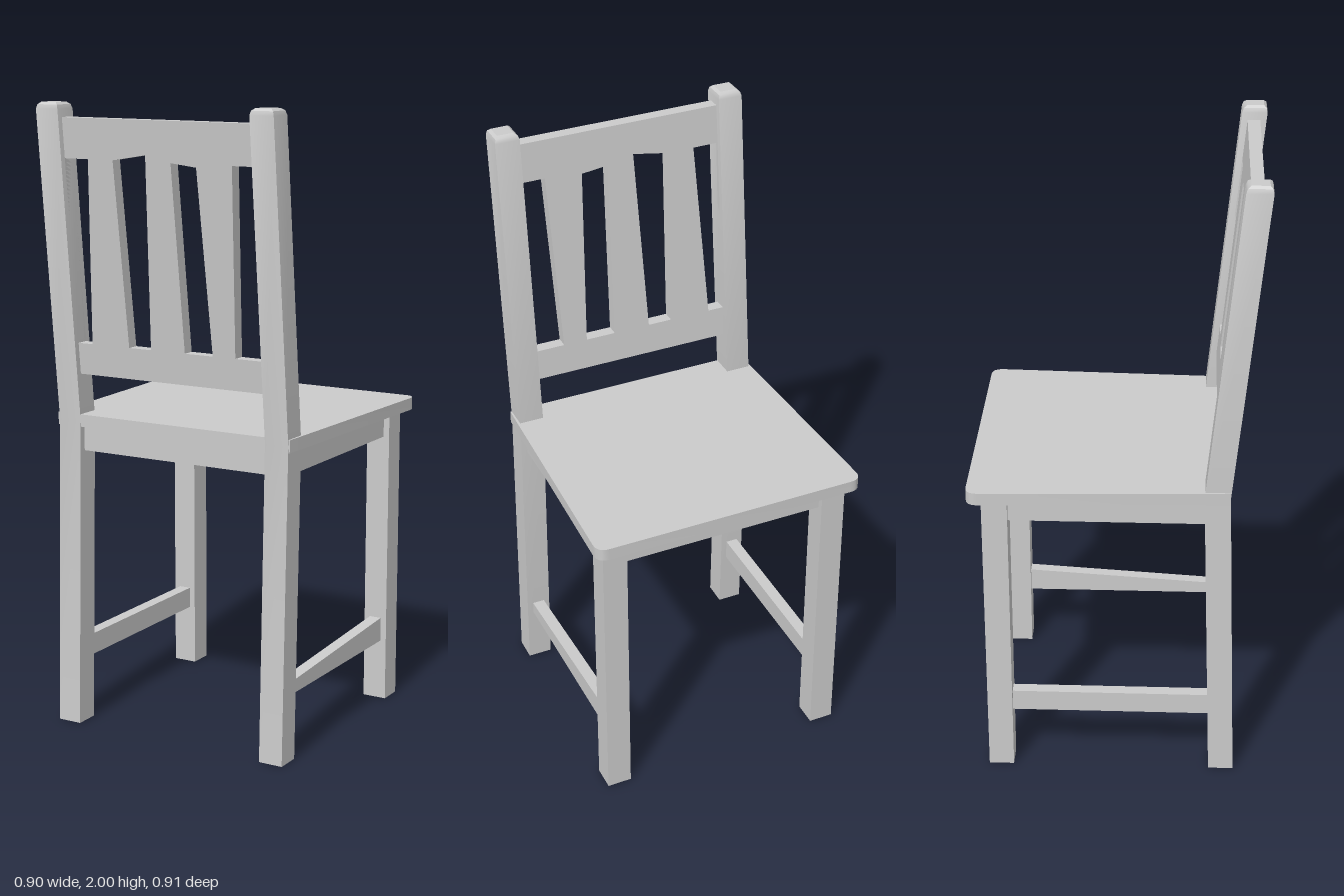
import * as THREE from 'three';
import { toCreasedNormals } from 'three/addons/utils/BufferGeometryUtils.js';

const material = new THREE.MeshStandardMaterial({ color: 0xcccccc });

// Rectangular sections [y, centre x, centre z, half width, half depth] stacked upwards
function postGeometry(sections) {
  const positions = [], index = [];
  for (const [y, x, z, w, d] of sections) {
    positions.push(x - w, y, z + d, x + w, y, z + d, x + w, y, z - d, x - w, y, z - d);
  }
  const top = (sections.length - 1) * 4;
  for (let r = 0; r < top; r += 4) {
    for (let i = 0; i < 4; i++) {
      const a = r + i, b = r + (i + 1) % 4;
      index.push(a, b, b + 4, a, b + 4, a + 4);
    }
  }
  index.push(0, 2, 1, 0, 3, 2, top, top + 1, top + 2, top, top + 2, top + 3);
  const geometry = new THREE.BufferGeometry();
  geometry.setAttribute('position', new THREE.Float32BufferAttribute(positions, 3));
  geometry.setIndex(index);
  return toCreasedNormals(geometry, 0.6);
}

const polygon = (points, Type = THREE.Shape) =>
  new Type(points.map(([x, y]) => new THREE.Vector2(x, y)));

// Centre line of the leaning back: z at height y
const leanZ = (y) => 0.315 + (y - 1) * 0.1;

export function createModel() {
  const chair = new THREE.Group();
  chair.name = 'chair';
  const add = (name, geometry) => {
    const mesh = new THREE.Mesh(geometry, material);
    mesh.name = name;
    chair.add(mesh);
    return mesh;
  };
  const addBox = (name, w, h, d, x, y, z) =>
    add(name, new THREE.BoxGeometry(w, h, d)).position.set(x, y, z);

  // Seat board: tapers to the back, rounded at the free corners
  const seat = new THREE.Shape();
  seat.moveTo(-0.42, 0.355);
  seat.lineTo(-0.449, -0.415);
  seat.quadraticCurveTo(-0.45, -0.455, -0.41, -0.455);
  seat.lineTo(0.41, -0.455);
  seat.quadraticCurveTo(0.45, -0.455, 0.449, -0.415);
  seat.lineTo(0.42, 0.355);
  const board = new THREE.ExtrudeGeometry(seat, { depth: 0.04, bevelEnabled: false, curveSegments: 8 });
  board.rotateX(Math.PI / 2).translate(0, 1.02, 0);
  add('seat', toCreasedNormals(board, 0.6));

  for (const [side, s] of [['left', 1], ['right', -1]]) {
    const x = s * 0.375;
    // Bent back post with a softened top
    add(side + 'BackPost', postGeometry([
      [0, x, 0.345, 0.04, 0.04],
      [1, x, 0.315, 0.04, 0.04],
      [1.98, x, 0.413, 0.04, 0.04],
      [1.993, x, 0.414, 0.036, 0.036],
      [2, x, 0.415, 0.027, 0.027],
    ]));
    addBox(side + 'FrontLeg', 0.08, 0.98, 0.08, x, 0.49, -0.37);
    addBox(side + 'Apron', 0.04, 0.08, 0.65, x, 0.94, -0.025);
  }
  addBox('frontApron', 0.69, 0.08, 0.04, 0, 0.94, -0.37);
  addBox('backApron', 0.69, 0.08, 0.04, 0, 0.94, 0.315);

  // Side stretchers: the left one is a wedge, the right one is straight
  for (const [name, x, backTop, frontTop] of [
    ['leftStretcher', 0.375, 0.24, 0.28], ['rightStretcher', -0.375, 0.27, 0.27]]) {
    const profile = polygon([[-0.31, 0.2], [0.34, 0.2], [0.34, frontTop], [-0.31, backTop]]);
    const bar = new THREE.ExtrudeGeometry(profile, { depth: 0.04, bevelEnabled: false });
    bar.rotateY(Math.PI / 2).translate(x - 0.02, 0, 0);
    add(name, bar);
  }

  // Back panel: rails and slats cut from one board, sheared to follow the posts
  const panel = polygon([[-0.345, 1.15], [0.345, 1.15], [0.345, 1.955], [-0.345, 1.955]]);
  const cutouts = [
    [[-0.335, 1.25], [-0.282, 1.25], [-0.25, 1.83], [-0.335, 1.83]],
    [[-0.145, 1.25], [-0.065, 1.25], [-0.042, 1.85], [-0.16, 1.83]],
    [[0.057, 1.25], [0.156, 1.25], [0.134, 1.82], [0.046, 1.83]],
    [[0.235, 1.25], [0.335, 1.25], [0.335, 1.83], [0.257, 1.83]],
  ];
  panel.holes = cutouts.map((points) => polygon(points, THREE.Path));
  const back = new THREE.ExtrudeGeometry(panel, { depth: 0.04, bevelEnabled: false });
  const p = back.attributes.position;
  for (let i = 0; i < p.count; i++) p.setZ(i, p.getZ(i) - 0.02 + leanZ(p.getY(i)));
  back.computeVertexNormals();
  add('backPanel', back);

  return chair;
}
